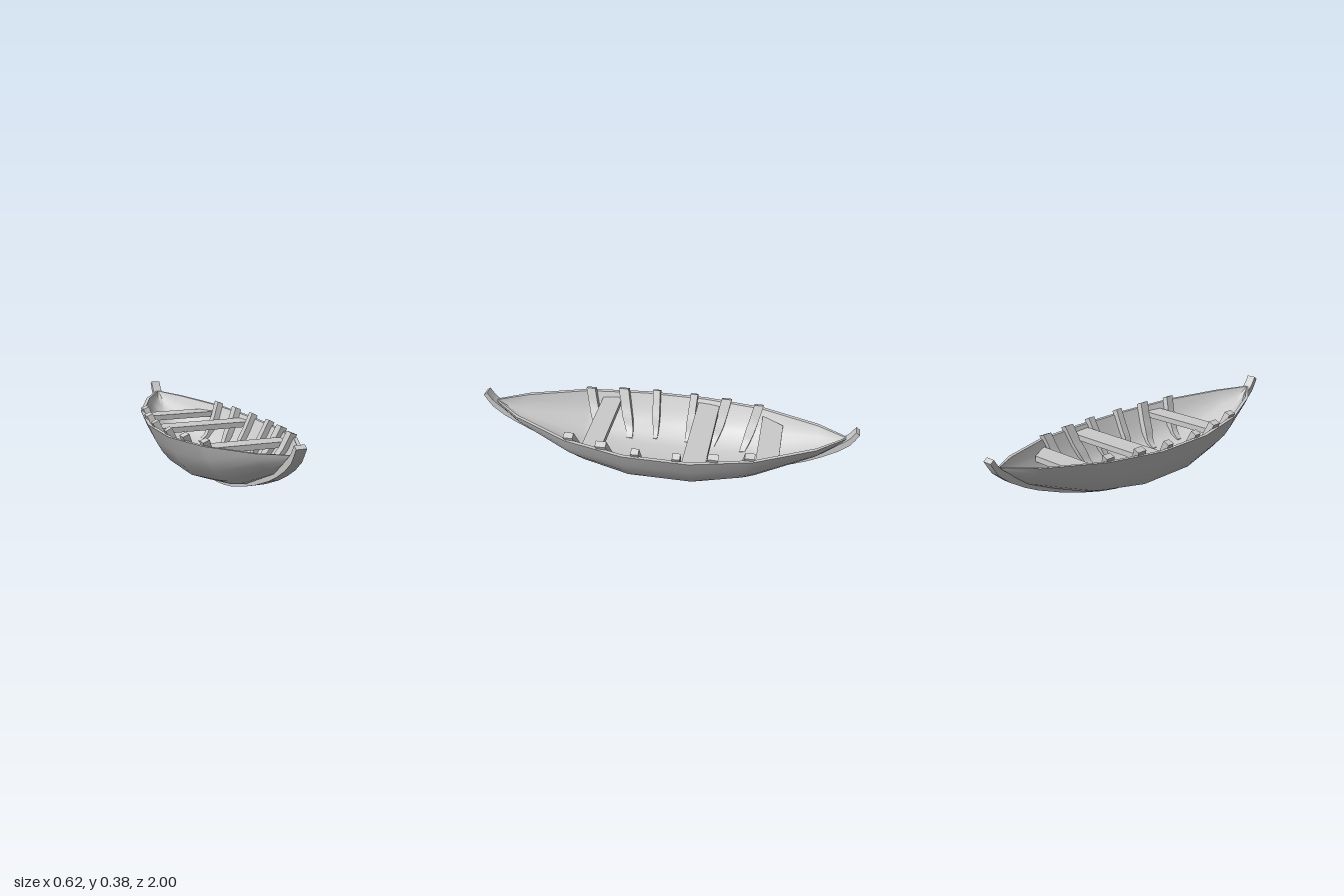
import * as THREE from 'three';
import { toCreasedNormals } from 'three/addons/utils/BufferGeometryUtils.js';

// Half sections (x, y) from keel to rim, for each station z; lift is the floor thickness
const STATIONS = [
  { z: 0.17, lift: 0.04, p: [[0, 0.025], [0.10, 0.037], [0.185, 0.066], [0.23, 0.12], [0.27, 0.19], [0.31, 0.275]] },
  { z: 0.43, lift: 0.035, p: [[0, 0.064], [0.075, 0.072], [0.14, 0.098], [0.19, 0.15], [0.23, 0.213], [0.261, 0.287]] },
  { z: 0.49, lift: 0.03, p: [[0, 0.08], [0.06, 0.087], [0.127, 0.112], [0.182, 0.163], [0.22, 0.22], [0.25, 0.29]] },
  { z: 0.79, lift: 0.02, p: [[0, 0.195], [0.03, 0.208], [0.06, 0.227], [0.085, 0.252], [0.105, 0.28], [0.12, 0.31]] },
  { z: 0.935, lift: 0.01, p: [[0, 0.29], [0.003, 0.297], [0.006, 0.304], [0.008, 0.311], [0.01, 0.318], [0.012, 0.325]] },
];
const THICK = 0.02;
const lerp = THREE.MathUtils.lerp;
const mat = new THREE.MeshStandardMaterial({ color: 0xcccccc });

function mesh(name, geo) {
  const m = new THREE.Mesh(geo, mat);
  m.name = name;
  return m;
}

// Half section of the inner skin at a station
function innerSection({ p, lift }) {
  const rim = p[5][0], scale = Math.max(0, rim - THICK) / rim;
  return p.map(([x, y], k) => [x * scale, y + lift * (1 - k / 5)]);
}

// Point on the inner skin at height parameter u (0 keel to 5 rim) and distance z
function innerPoint(u, z) {
  let i = 0;
  while (i < STATIONS.length - 2 && z > STATIONS[i + 1].z) i++;
  const s = STATIONS[i], t = STATIONS[i + 1];
  const f = Math.max(0, (z - s.z) / (t.z - s.z));
  const k = Math.min(4, Math.floor(u));
  const a = innerSection(s), b = innerSection(t);
  const mix = c => lerp(lerp(a[k][c], a[k + 1][c], u - k), lerp(b[k][c], b[k + 1][c], u - k), f);
  return new THREE.Vector3(mix(0), mix(1), z);
}

// Surface through rows of points
function skin(rows) {
  const n = rows[0].length, index = [];
  for (let i = 0; i < rows.length - 1; i++)
    for (let j = 0; j < n - 1; j++) {
      const a = i * n + j, b = a + 1, c = a + n, d = c + 1;
      index.push(a, b, c, b, d, c);
    }
  const g = new THREE.BufferGeometry();
  g.setAttribute('position', new THREE.Float32BufferAttribute(rows.flat(2), 3));
  g.setIndex(index);
  g.computeVertexNormals();
  return g;
}

function buildHull() {
  const hull = new THREE.Group();
  hull.name = 'hull';
  const line = [
    ...STATIONS.slice().reverse().map(s => ({ ...s, z: -s.z })),
    ...STATIONS,
  ];
  const full = (half, z) => [
    ...half.slice(1).reverse().map(([x, y]) => [-x, y, z]),
    ...half.map(([x, y]) => [x, y, z]),
  ];
  const outer = line.map(s => full(s.p, s.z));
  const inner = line.map(s => full(innerSection(s), s.z));
  hull.add(mesh('outerPlanking', skin(outer)));
  hull.add(mesh('innerPlanking', skin(inner.map(r => r.slice().reverse()))));
  // Rim closing the two skins
  hull.add(mesh('rightRim', skin(outer.map((r, i) => [inner[i][0], r[0]]))));
  hull.add(mesh('leftRim', skin(outer.map((r, i) => [r[10], inner[i][10]]))));
  return hull;
}

// Keel sweeping up into a stem at both ends
function buildKeel() {
  const under = [[1, 0.365], [0.975, 0.322], [0.957, 0.295], [0.9, 0.247], [0.82, 0.199], [0.74, 0.16],
    [0.6, 0.106], [0.465, 0.063], [0.32, 0.026], [0.22, 0.009], [0.12, 0]];
  const over = [[0.12, 0.028], [0.25, 0.04], [0.46, 0.085], [0.6, 0.136], [0.73, 0.187], [0.82, 0.232],
    [0.88, 0.275], [0.935, 0.32], [0.955, 0.34], [0.98, 0.38]];
  const flip = a => a.slice().reverse().map(([z, y]) => [-z, y]);
  const outline = [...under, ...flip(under), ...flip(over), ...over].map(p => new THREE.Vector2(...p));
  const g = new THREE.ExtrudeGeometry(new THREE.Shape(outline), { depth: 0.052, bevelEnabled: false });
  g.translate(0, 0, -0.026).rotateY(-Math.PI / 2);
  return mesh('keel', toCreasedNormals(g, 0.7));
}

// Seat plank with a half width at each of its two edges
function buildThwart(z0, w0, z1, w1) {
  const s = new THREE.Shape([[-w0, -z0], [-w1, -z1], [w1, -z1], [w0, -z0]].map(p => new THREE.Vector2(...p)));
  const g = new THREE.ExtrudeGeometry(s, { depth: 0.03, bevelEnabled: false });
  g.rotateX(-Math.PI / 2).translate(0, 0.225, 0);
  return mesh('thwart', g);
}

// Curved timber following the inner skin and standing above the rim
function buildRib(side, end, { z, width, shift, u0, rise }) {
  const path = [];
  for (let i = 0; i <= 8; i++) {
    const f = i / 8;
    path.push(innerPoint(lerp(u0, 5, f), z - shift * (1 - f)));
  }
  const tip = path[8].clone().sub(path[7]).normalize();
  path.push(path[8].clone().addScaledVector(tip, rise));
  const rings = path.map((p, i) => {
    const t = path[Math.min(i + 1, 9)].clone().sub(path[Math.max(i - 1, 0)]).normalize();
    const nx = -t.y, ny = t.x;
    const grow = Math.min(1, i / 4);
    const depth = lerp(0.004, 0.03, grow);
    const half = width / 2 * lerp(0.6, 1, grow);
    const corner = (d, w) => [side * (p.x + nx * d), p.y + ny * d, end * (p.z + w * half)];
    return [corner(-0.006, -1), corner(depth, -1), corner(depth, 1), corner(-0.006, 1), corner(-0.006, -1)];
  });
  // Collapsed rings close both ends
  const mid = r => r.map(() => [0, 1, 2].map(c => (r[0][c] + r[2][c]) / 2));
  let rows = [mid(rings[0]), ...rings, mid(rings[9])];
  if (side * end < 0) rows = rows.map(r => r.slice().reverse());
  return mesh('rib', toCreasedNormals(skin(rows), 0.7));
}

export function createModel() {
  const boat = new THREE.Group();
  boat.name = 'rowingBoat';
  boat.add(buildHull(), buildKeel());

  boat.add(buildThwart(-0.61, 0.145, -0.495, 0.215));
  boat.add(buildThwart(-0.25, 0.27, -0.13, 0.28));
  boat.add(buildThwart(0.30, 0.26, 0.405, 0.235));

  const ribs = [
    { z: 0.105, width: 0.04, shift: 0.015, u0: 1.5, rise: 0.025 },
    { z: 0.285, width: 0.055, shift: 0.055, u0: 1.3, rise: 0.025 },
    { z: 0.465, width: 0.05, shift: 0.06, u0: 1.1, rise: 0.022 },
  ];
  for (const rib of ribs)
    for (const side of [-1, 1])
      for (const end of [-1, 1]) boat.add(buildRib(side, end, rib));
  return boat;
}
